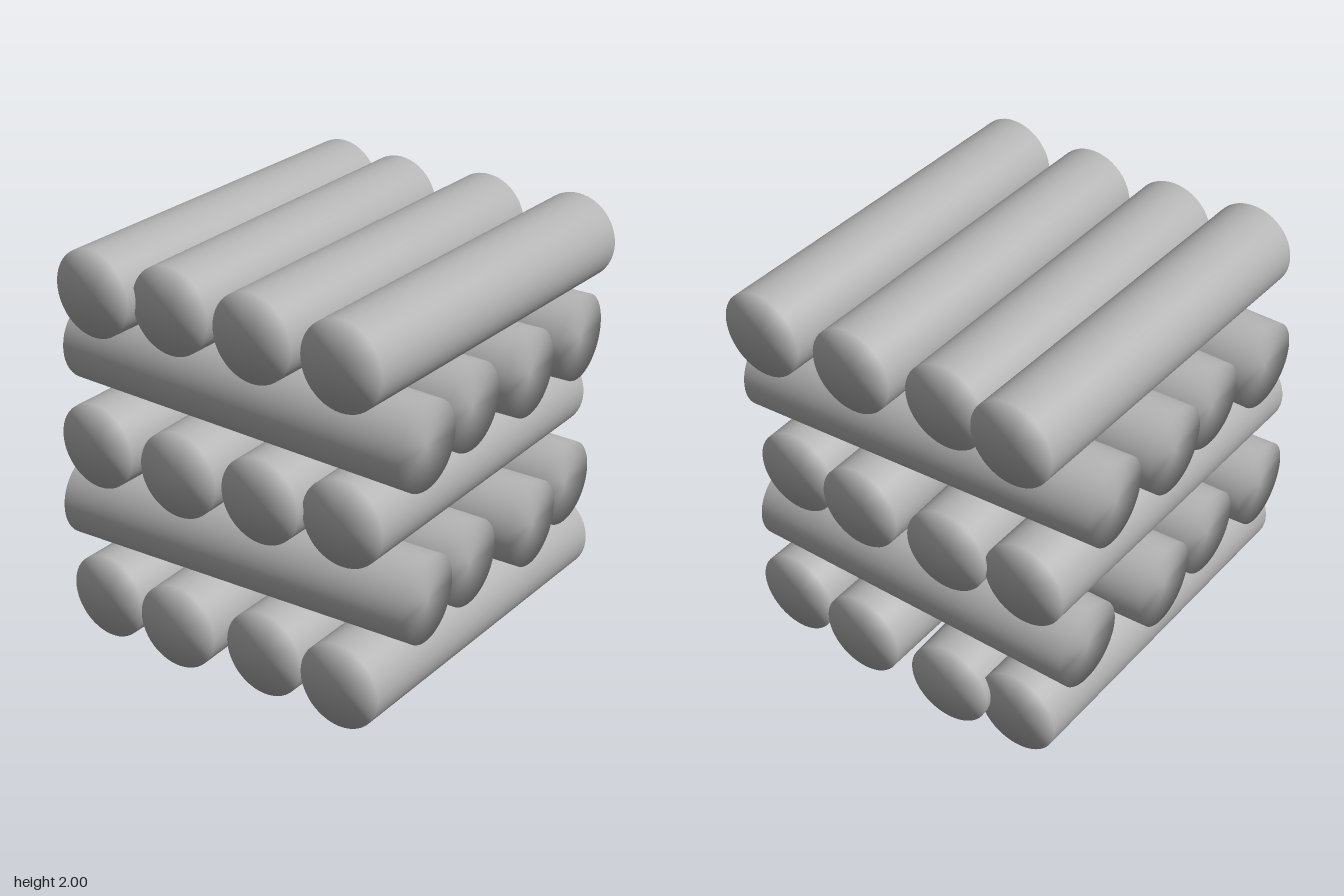
import * as THREE from 'three';
import { mergeVertices } from 'three/addons/utils/BufferGeometryUtils.js';

const RADIUS = 0.2135;

// Log body with normals shared across the rim, so the ends shade as soft domes
function logGeometry(length) {
  const g = new THREE.CylinderGeometry(RADIUS, RADIUS, length, 48, 1);
  g.deleteAttribute('normal');
  g.deleteAttribute('uv');
  const merged = mergeVertices(g, 1e-4);
  merged.computeVertexNormals();
  return merged;
}

// Each log: [start along its axis, end along its axis, side offset at start, side offset at end]
const layers = [
  { axis: 'x', y: 0.215, logs: [
    [-0.95, 0.88, 0.68, 0.70], [-0.93, 0.93, 0.245, 0.257],
    [-0.97, 0.965, -0.23, -0.283], [-0.94, 0.93, -0.675, -0.645]] },
  { axis: 'z', y: 0.612, logs: [
    [-0.95, 0.95, -0.715, -0.65], [-0.93, 0.93, -0.25, -0.267],
    [-0.96, 0.97, 0.18, 0.22], [-0.89, 0.89, 0.72, 0.669]] },
  { axis: 'x', y: 1.005, logs: [
    [-0.89, 0.885, 0.655, 0.637], [-0.93, 0.92, 0.235, 0.24],
    [-0.945, 0.935, -0.215, -0.262], [-0.93, 0.92, -0.71, -0.675]] },
  { axis: 'z', y: 1.398, logs: [
    [-0.97, 0.965, -0.62, -0.705], [-0.93, 0.92, -0.21, -0.267],
    [-0.965, 0.945, 0.16, 0.188], [-0.945, 0.93, 0.61, 0.675]] },
  { axis: 'x', y: 1.787, logs: [
    [-0.95, 0.945, 0.69, 0.733], [-0.935, 0.93, 0.21, 0.24],
    [-0.905, 0.9, -0.265, -0.25], [-0.95, 0.945, -0.675, -0.627]] },
];

export function createModel() {
  const model = new THREE.Group();
  model.name = 'logStack';
  const grey = new THREE.MeshStandardMaterial({ color: 0xb4b4b4 });
  grey.name = 'plain grey';
  const up = new THREE.Vector3(0, 1, 0);

  // Crossed layers, each turned a quarter from the one below
  layers.forEach(({ axis, y, logs }, i) => {
    const layer = new THREE.Group();
    layer.name = `layer${i + 1}`;
    logs.forEach(([start, end, sideStart, sideEnd], j) => {
      const point = (along, side) => axis === 'x'
        ? new THREE.Vector3(along, y, side)
        : new THREE.Vector3(side, y, along);
      const a = point(start, sideStart);
      const b = point(end, sideEnd);
      const log = new THREE.Mesh(logGeometry(a.distanceTo(b)), grey);
      log.name = `log${j + 1}`;
      log.position.addVectors(a, b).multiplyScalar(0.5);
      log.quaternion.setFromUnitVectors(up, b.clone().sub(a).normalize());
      layer.add(log);
    });
    model.add(layer);
  });
  return model;
}
